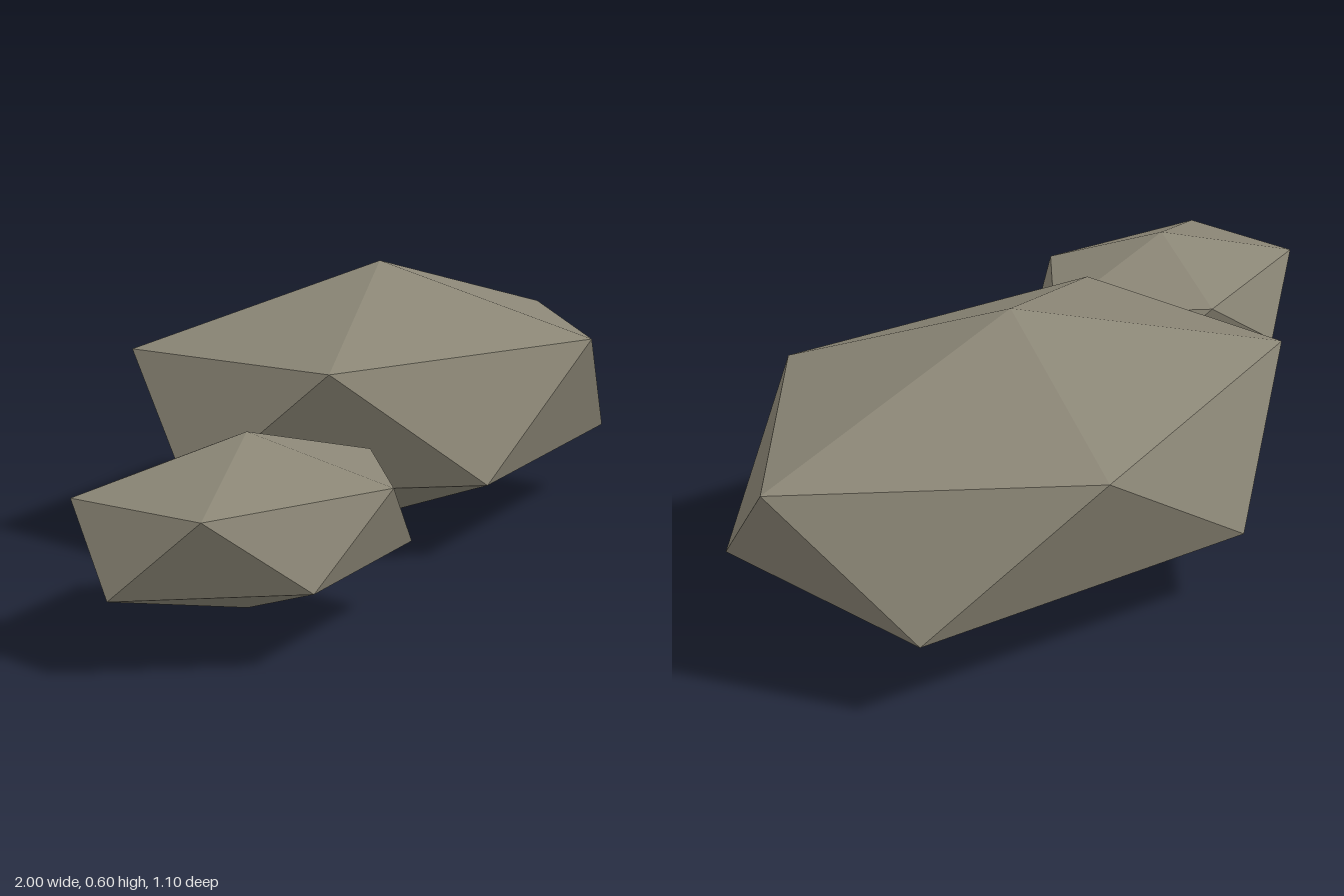
import * as THREE from 'three';

const stone = new THREE.MeshStandardMaterial({ color: 0x8a8575, flatShading: true });
stone.name = 'stone';

// A squashed icosahedron standing on one corner, with an upper-ring corner toward +x
function makeRock(name, radii, centre) {
  const geometry = new THREE.IcosahedronGeometry(1, 0);
  geometry.rotateX(-Math.atan2((1 + Math.sqrt(5)) / 2, 1));
  geometry.rotateY(Math.PI / 2);
  geometry.scale(...radii);
  const rock = new THREE.Mesh(geometry, stone);
  rock.name = name;
  rock.position.set(...centre);
  return rock;
}

export function createModel() {
  const group = new THREE.Group();
  group.name = 'rocks';
  // Ring radius of an icosahedron is 2/sqrt(5) of its corner radius
  const k = Math.sqrt(5) / 2;
  group.add(
    makeRock('largeRock', [0.665 * k, 0.298, 0.467 * k], [0.333, 0.299, -0.106]),
    makeRock('smallRock', [0.385 * k, 0.171, 0.269 * k], [-0.615, 0.222, 0.294])
  );
  return group;
}
